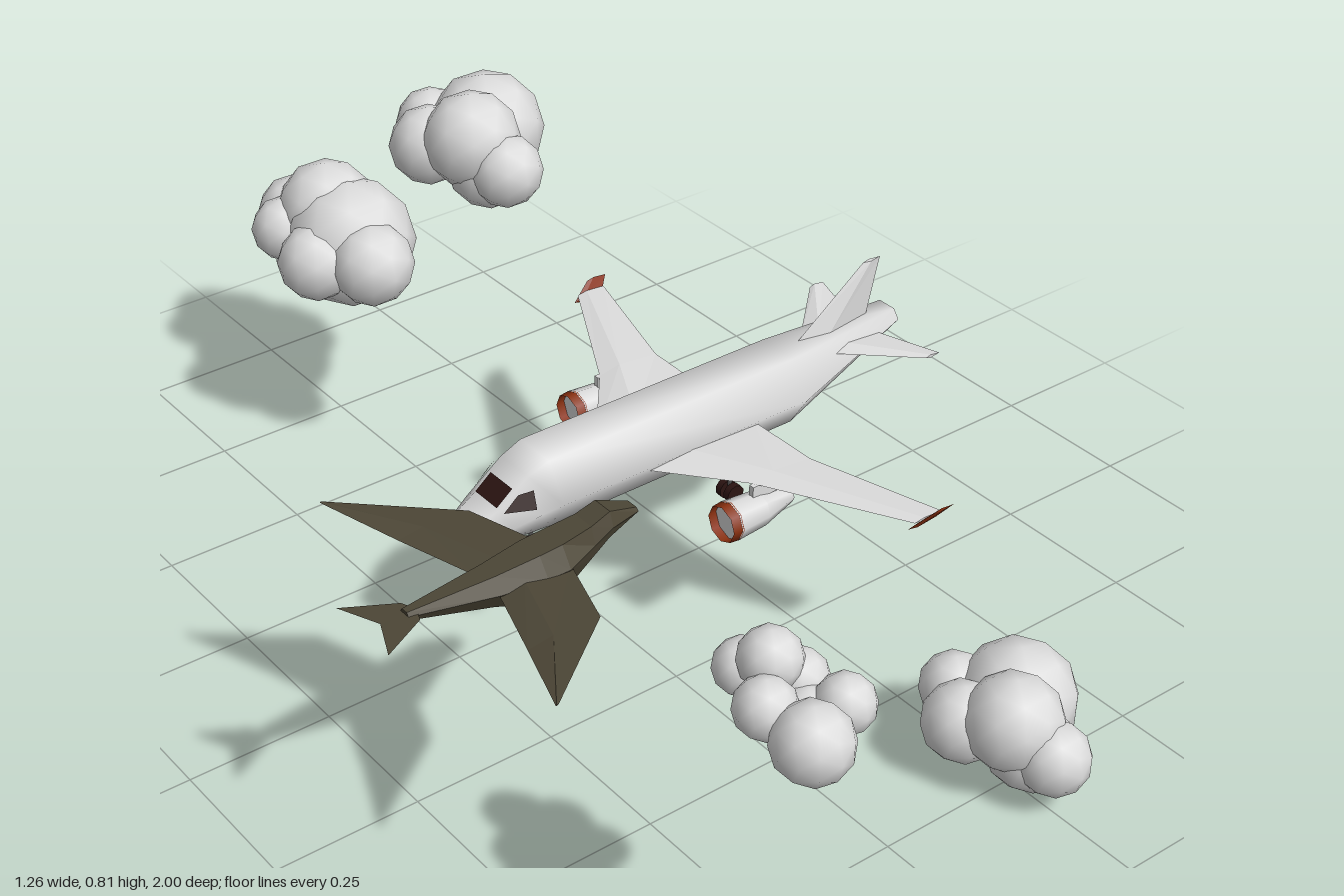
import * as THREE from 'three';

const mat = (name, color, side = THREE.FrontSide) =>
  Object.assign(new THREE.MeshStandardMaterial({ color, side }), { name });

export function createModel() {
  const white = mat('white', 0xdcdcdc);
  const rust = mat('rust red', 0x8a3010, THREE.DoubleSide);
  const dark = mat('dark brown', 0x2c1412, THREE.DoubleSide);
  const grey = mat('strut grey', 0x5a5a5a);
  const olive = mat('olive brown', 0x4c4636, THREE.DoubleSide);

  const model = new THREE.Group();
  const add = (parent, name, geo, material, x = 0, y = 0, z = 0) => {
    const m = new THREE.Mesh(geo, material);
    m.name = name;
    m.position.set(x, y, z);
    parent.add(m);
    return m;
  };
  const group = (name, parent = model) => {
    const g = new THREE.Group();
    g.name = name;
    parent.add(g);
    return g;
  };

  // Skin a row of equal-length rings and close both ends
  const loft = (rings, smooth = false) => {
    const n = rings[0].length, pos = rings.flat(2), idx = [];
    for (let i = 0; i < rings.length - 1; i++)
      for (let j = 0; j < n; j++) {
        const a = i * n + j, b = i * n + (j + 1) % n;
        idx.push(a, a + n, b, b, a + n, b + n);
      }
    [rings[0], [...rings[rings.length - 1]].reverse()].forEach((ring) => {
      const s = pos.length / 3;
      pos.push(...ring.flat());
      for (let j = 1; j < n - 1; j++) idx.push(s, s + j, s + j + 1);
    });
    let g = new THREE.BufferGeometry();
    g.setAttribute('position', new THREE.Float32BufferAttribute(pos, 3));
    g.setIndex(idx);
    if (!smooth) g = g.toNonIndexed();
    g.computeVertexNormals();
    return g;
  };
  const quad = (pts) => {
    const g = new THREE.BufferGeometry();
    g.setAttribute('position', new THREE.Float32BufferAttribute(pts.flat(), 3));
    g.setIndex([0, 1, 2, 0, 2, 3]);
    g.computeVertexNormals();
    return g;
  };
  // Cross-sections: six-sided body and diamond aerofoil
  const hex = ([x, yb, ym, yt, w, t]) =>
    [[x, ym, w], [x, yt, t], [x, yt, -t], [x, ym, -w], [x, yb, -t], [x, yb, t]];
  const foil = ([xl, xt, y, z, th]) => {
    const m = xl + (xt - xl) * 0.35;
    return [[m, y + th, z], [xt, y, z], [m, y - th, z], [xl, y, z]];
  };
  // Both wings in one skin, given root-to-tip sections on the +z side
  const wingPair = (half) => loft([
    ...[...half].reverse().map(([a, b, y, z, t]) => foil([a, b, y, -z, t])),
    ...half.map(foil)]);

  // ---- Airplane, nose towards -x ----
  const plane = group('airplane');
  plane.position.z = 0.028;
  const hull = [
    [-0.255, 0.25, 0.27, 0.287, 0.04, 0.025],
    [-0.205, 0.245, 0.285, 0.31, 0.06, 0.033],
    [-0.155, 0.244, 0.3, 0.353, 0.073, 0.036],
    [-0.115, 0.244, 0.305, 0.367, 0.078, 0.039],
    [0.385, 0.244, 0.305, 0.367, 0.078, 0.039],
    [0.63, 0.335, 0.351, 0.367, 0.03, 0.018]].map(hex);
  add(plane, 'fuselage', loft(hull, true), white);

  // Cockpit glass lies just above the nose facets
  add(plane, 'windshield', quad([
    [-0.21, 0.312, 0.029], [-0.18, 0.336, 0.029],
    [-0.18, 0.336, -0.029], [-0.21, 0.312, -0.029]]), dark);
  const facet = (u, f, s) => {
    const p = (k, j) => new THREE.Vector3(...hull[k][j]);
    const a = p(1, 1).lerp(p(1, 0), f), b = p(2, 1).lerp(p(2, 0), f);
    const v = a.lerp(b, u);
    return [v.x - 0.001, v.y + 0.002, s * (v.z + 0.004)];
  };
  for (const s of [1, -1]) {
    const corners = [[0, 0.2], [0.9, 0.8], [1, 0.35], [0.55, 0.12]].map(([u, f]) => facet(u, f, s));
    add(plane, 'sideWindow', quad(s > 0 ? corners : corners.reverse()), dark);
  }

  add(plane, 'wings', wingPair([
    [0.05, 0.285, 0.295, 0.06, 0.011],
    [0.165, 0.285, 0.297, 0.2, 0.008],
    [0.295, 0.352, 0.298, 0.435, 0.003]]), white);
  add(plane, 'tailplane', wingPair([
    [0.45, 0.575, 0.346, 0.02, 0.008],
    [0.585, 0.615, 0.348, 0.147, 0.003]]), white);
  const finRing = (xl, xt, y, th) => {
    const m = xl + (xt - xl) * 0.4;
    return [[xt, y, 0], [m, y, th], [xl, y, 0], [m, y, -th]];
  };
  add(plane, 'tailFin', loft([finRing(0.42, 0.58, 0.36, 0.013), finRing(0.567, 0.605, 0.47, 0.004)]), white);

  for (const s of [1, -1]) {
    // Upturned wing tip
    const tip = [[0.285, 0.345, 0.288, s * 0.431, 0.004], [0.325, 0.365, 0.312, s * 0.447, 0.003]].map(foil);
    add(plane, 'winglet', loft(s > 0 ? tip : tip.reverse()), rust);

    // Engine with open intake ring
    const engine = group('engine', plane);
    engine.position.set(0.11, 0.247, s * 0.203);
    engine.rotation.z = Math.PI / 2;
    add(engine, 'intakeRing', new THREE.CylinderGeometry(0.032, 0.034, 0.02, 8, 1, true), rust);
    add(engine, 'nacelle', new THREE.CylinderGeometry(0.034, 0.03, 0.06, 8), white, 0, -0.037, 0);
    add(engine, 'exhaustCone', new THREE.CylinderGeometry(0.03, 0.013, 0.065, 8), white, 0, -0.099, 0);
    add(plane, 'enginePylon', new THREE.BoxGeometry(0.08, 0.025, 0.01), white, 0.2, 0.283, s * 0.203);
  }

  // Landing gear: strut and twin wheels
  for (const [x, z] of [[-0.125, 0], [0.235, 0.064], [0.235, -0.064]]) {
    const gear = group('landingGear', plane);
    gear.position.set(x, 0.18, z);
    add(gear, 'strut', new THREE.CylinderGeometry(0.004, 0.004, 0.09, 6), grey, 0, 0.045, 0);
    for (const s of [1, -1])
      add(gear, 'wheel', new THREE.CylinderGeometry(0.017, 0.017, 0.012, 10), dark, 0, 0, s * 0.01).rotation.x = Math.PI / 2;
  }

  // ---- Bird, head towards +x ----
  const bird = group('bird');
  bird.position.z = 0.333;
  add(bird, 'birdBody', loft([
    [-0.56, 0.428, 0.436, 0.442, 0.01, 0.006],
    [-0.42, 0.395, 0.425, 0.448, 0.035, 0.018],
    [-0.345, 0.37, 0.425, 0.455, 0.045, 0.024],
    [-0.305, 0.37, 0.425, 0.457, 0.045, 0.024],
    [-0.25, 0.405, 0.435, 0.463, 0.03, 0.02],
    [-0.215, 0.428, 0.45, 0.474, 0.027, 0.018],
    [-0.16, 0.443, 0.449, 0.454, 0.015, 0.01]].map(hex)), olive);
  add(bird, 'birdWings', wingPair([
    [-0.295, -0.42, 0.422, 0.03, 0.008],
    [-0.34, -0.465, 0.428, 0.16, 0.006],
    [-0.51, -0.515, 0.442, 0.292, 0.001]].map(([a, b, ...r]) => [b, a, ...r])), olive);
  for (const s of [1, -1])
    add(bird, 'birdTail', quad([
      [-0.54, 0.436, 0], [-0.6, 0.437, 0], [-0.63, 0.438, s * 0.066], [-0.55, 0.436, s * 0.024]]), olive);

  // ---- Clouds: clusters of [x, y, z, radius] puffs ----
  const cloud = (puffs, dx = 0, dy = 0, dz = 0) => {
    const g = group('cloud');
    g.position.set(dx, dy, dz);
    for (const [x, y, z, r] of puffs) add(g, 'puff', new THREE.IcosahedronGeometry(r, 1), white, x, y, z);
  };
  const wide = [
    [0.08, 0.71, -0.37, 0.096], [0.01, 0.735, -0.31, 0.08], [-0.025, 0.708, -0.38, 0.066],
    [0.025, 0.707, -0.45, 0.057], [0.03, 0.7, -0.243, 0.06], [0.03, 0.69, -0.29, 0.07]];
  cloud(wide);
  cloud(wide, 0.23, -0.612, 1.065);
  cloud([
    [0.065, 0.315, -0.79, 0.12], [0.055, 0.36, -0.85, 0.092], [0.035, 0.325, -0.93, 0.07],
    [-0.02, 0.31, -0.77, 0.072], [0.05, 0.315, -0.695, 0.077], [0.03, 0.255, -0.865, 0.07],
    [-0.02, 0.33, -0.88, 0.06]]);
  cloud([
    [-0.345, 0.505, 0.94, 0.058], [-0.315, 0.55, 0.82, 0.046], [-0.325, 0.515, 0.778, 0.042],
    [-0.36, 0.52, 0.865, 0.045], [-0.28, 0.51, 0.835, 0.045], [-0.268, 0.515, 0.915, 0.043],
    [-0.3, 0.482, 0.88, 0.05]]);

  return model;
}
